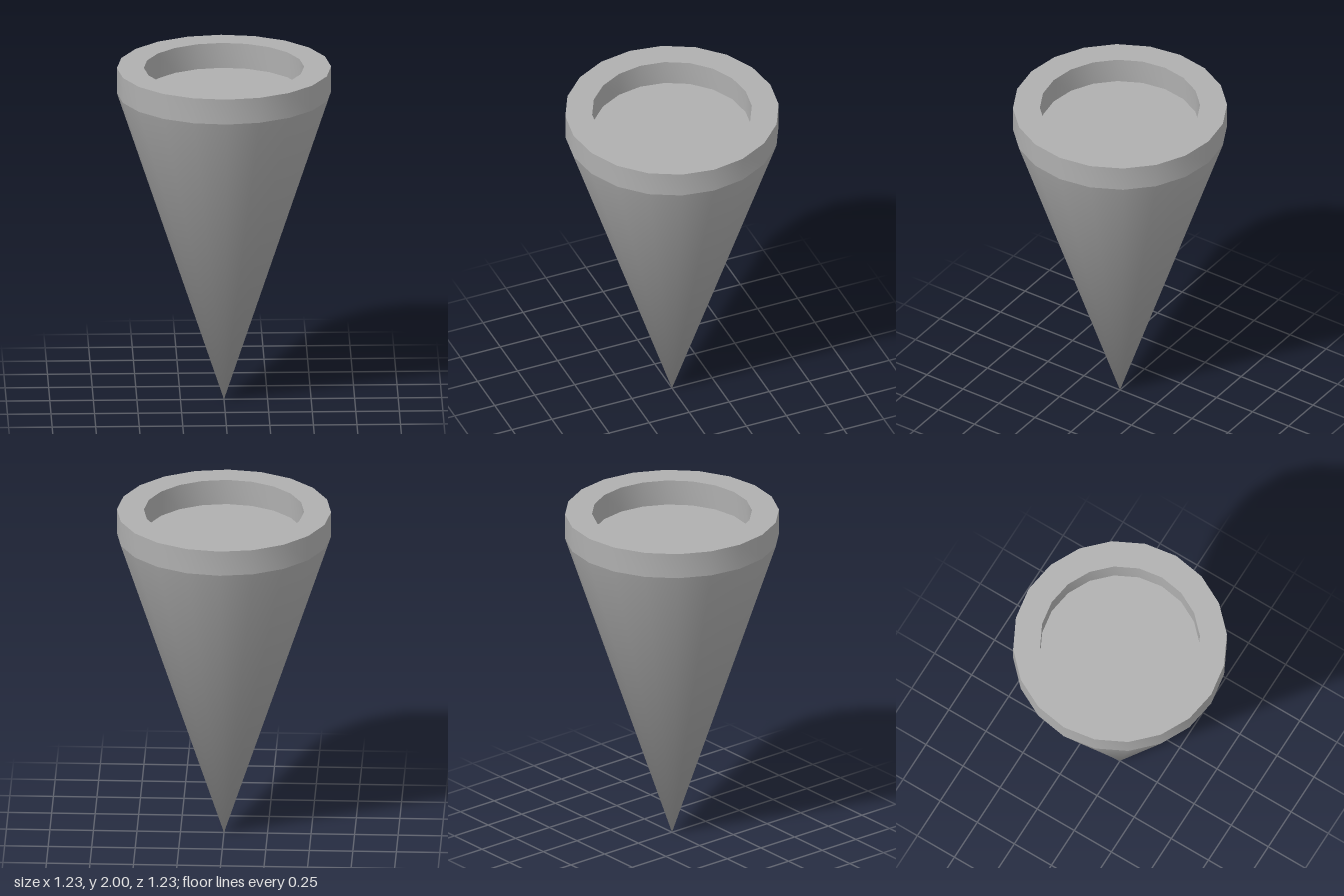
import * as THREE from 'three';
import { toCreasedNormals } from 'three/addons/utils/BufferGeometryUtils.js';

const SIDES = 20;
const OUTER = 0.615;
const INNER = 0.46;
const RIM_BASE = 1.85;
const TOP = 2;

// Cone standing on its tip, shaded smoothly round to a downward normal at the tip
function createCone() {
  const cone = new THREE.CylinderGeometry(OUTER, 0, RIM_BASE, SIDES);
  cone.translate(0, RIM_BASE / 2, 0);
  const { position, normal } = cone.attributes;
  for (let i = 0; i < position.count; i++) {
    if (position.getY(i) < 0.001) normal.setXYZ(i, 0, -1, 0);
  }
  return cone;
}

export function createModel() {
  const group = new THREE.Group();
  group.name = 'cone';
  const material = new THREE.MeshStandardMaterial({ color: 0xafafaf });

  const add = (name, geometry) => {
    const mesh = new THREE.Mesh(geometry, material);
    mesh.name = name;
    group.add(mesh);
  };

  // Solid body; its flat cap is the floor of the recess
  add('coneBody', createCone());

  // Raised rim: outer wall, flat top and inner wall
  const profile = [
    [OUTER, RIM_BASE],
    [OUTER, TOP],
    [INNER, TOP],
    [INNER, RIM_BASE],
  ].map(([r, y]) => new THREE.Vector2(r, y));
  add('rim', toCreasedNormals(new THREE.LatheGeometry(profile, SIDES), Math.PI / 6));

  return group;
}
